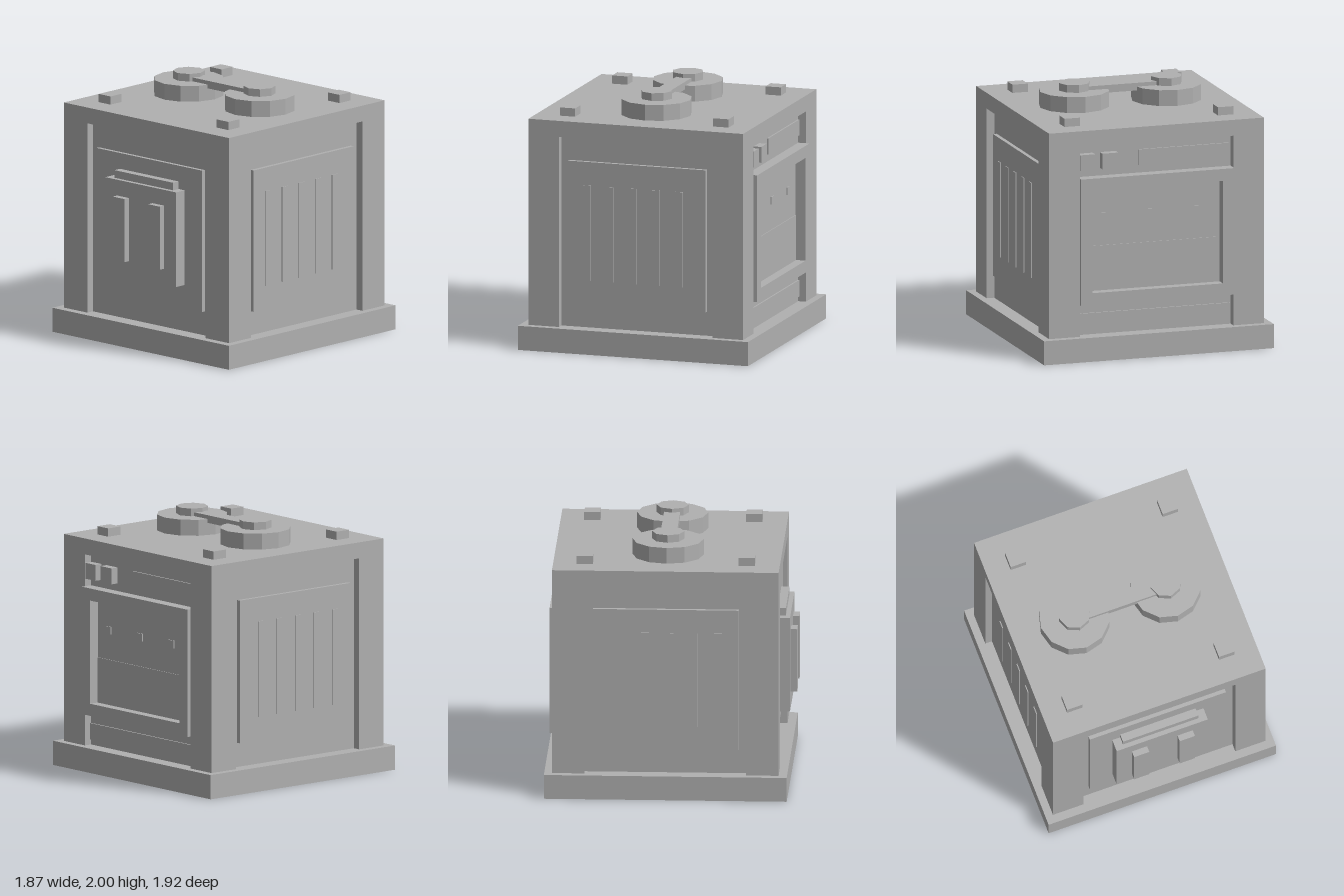
import * as THREE from 'three';

export function createModel() {
  const model = new THREE.Group();
  model.name = 'machineCrate';
  const grey = new THREE.MeshStandardMaterial({ color: 0xb0b0b0 });
  grey.name = 'plain grey';
  const CZ = -0.025; // middle of the body in z

  function add(name, geometry, parent = model) {
    const mesh = new THREE.Mesh(geometry, grey);
    mesh.name = name;
    parent.add(mesh);
    return mesh;
  }
  // Box given by its limits on each axis
  function box(name, x0, x1, y0, y1, z0, z1, parent) {
    const g = new THREE.BoxGeometry(x1 - x0, y1 - y0, z1 - z0);
    g.translate((x0 + x1) / 2, (y0 + y1) / 2, (z0 + z1) / 2);
    return add(name, g, parent);
  }
  function disc(name, radius, y0, y1, sides, x) {
    const g = new THREE.CylinderGeometry(radius, radius, y1 - y0, sides).toNonIndexed();
    g.computeVertexNormals();
    g.translate(x, (y0 + y1) / 2, CZ);
    return add(name, g);
  }

  // Plinth, recessed core and roof slab
  box('base', -0.935, 0.935, 0, 0.19, -0.96, 0.915);
  box('core', -0.8125, 0.8125, 0.19, 1.69, -0.8375, 0.7875);
  box('roof', -0.875, 0.875, 1.69, 1.815, -0.9, 0.85);

  for (const s of [-1, 1]) {
    // Corner pillars and roof studs
    for (const t of [-1, 1]) {
      const px = s * 0.75, pz = CZ + t * 0.75;
      box('cornerPillar', px - 0.125, px + 0.125, 0.19, 1.69, pz - 0.125, pz + 0.125);
      const sx = s * 0.625, sz = CZ - 0.005 + t * 0.625;
      box('roofStud', sx - 0.0625, sx + 0.0625, 1.815, 1.88, sz - 0.0625, sz + 0.0625);
    }

    // Side panels with five vent strips
    const xIn = 0.8, xOut = 0.844;
    const lo = (a, b) => Math.min(s * a, s * b), hi = (a, b) => Math.max(s * a, s * b);
    box('sidePanel', lo(xIn, xOut), hi(xIn, xOut), 0.38, 1.5, -0.585, 0.54);
    for (let i = -2; i <= 2; i++) {
      const z = 0.006 + i * 0.1875;
      box('ventStrip', lo(xOut, 0.851), hi(xOut, 0.851), 0.565, 1.315, z - 0.031, z + 0.031);
    }

    // Turntables and hubs on the roof
    disc('roofDrum', 0.275, 1.815, 1.94, 12, s * 0.375);
    disc('roofHub', 0.124, 1.94, 2, 8, s * 0.375);

    // Raised bars on the front plate
    const bx = s * 0.1875;
    box('frontBar', bx - 0.0625, bx + 0.0625, 0.69, 1.19, 0.9, 0.965);
  }
  box('linkBar', -0.3, 0.3, 1.91, 1.97, CZ - 0.0625, CZ + 0.0625);

  // Front panel, plate and hood
  box('frontPanel', -0.56, 0.56, 0.38, 1.5, 0.78, 0.817);
  box('frontPlate', -0.375, 0.375, 0.565, 1.315, 0.81, 0.915);
  box('frontHood', -0.31, 0.31, 1.315, 1.375, 0.81, 0.88);

  // Back hatch: a frame around a recessed window
  const hatch = new THREE.Group();
  hatch.name = 'backHatch';
  model.add(hatch);
  const frame = new THREE.Shape();
  frame.moveTo(-0.625, 0.44).lineTo(0.625, 0.44).lineTo(0.625, 1.44).lineTo(-0.625, 1.44).closePath();
  const hole = new THREE.Path();
  hole.moveTo(-0.53, 0.535).lineTo(-0.53, 1.345).lineTo(0.53, 1.345).lineTo(0.53, 0.535).closePath();
  frame.holes.push(hole);
  const frameGeometry = new THREE.ExtrudeGeometry(frame, { depth: 0.1, bevelEnabled: false });
  frameGeometry.translate(0, 0, -0.93);
  add('hatchFrame', frameGeometry, hatch);
  box('hatchUpperPane', -0.53, 0.53, 0.89, 1.345, -0.847, -0.83, hatch);
  box('hatchLowerPane', -0.53, 0.53, 0.535, 0.89, -0.853, -0.83, hatch);
  for (let i = -1; i <= 1; i++) {
    const x = 0.03 + i * 0.375;
    box('hatchLamp', x - 0.031, x + 0.031, 1.09, 1.15, -0.856, -0.845, hatch);
  }

  // Controls above the hatch and the plate beneath it
  box('backButtonOuter', 0.5, 0.62, 1.5, 1.625, -0.9, -0.83);
  box('backButtonInner', 0.31, 0.44, 1.5, 1.625, -0.9, -0.83);
  box('backDisplay', -0.62, 0.125, 1.5, 1.625, -0.85, -0.83);
  box('backKickPlate', -0.62, 0.62, 0.23, 0.36, -0.85, -0.83);

  return model;
}
